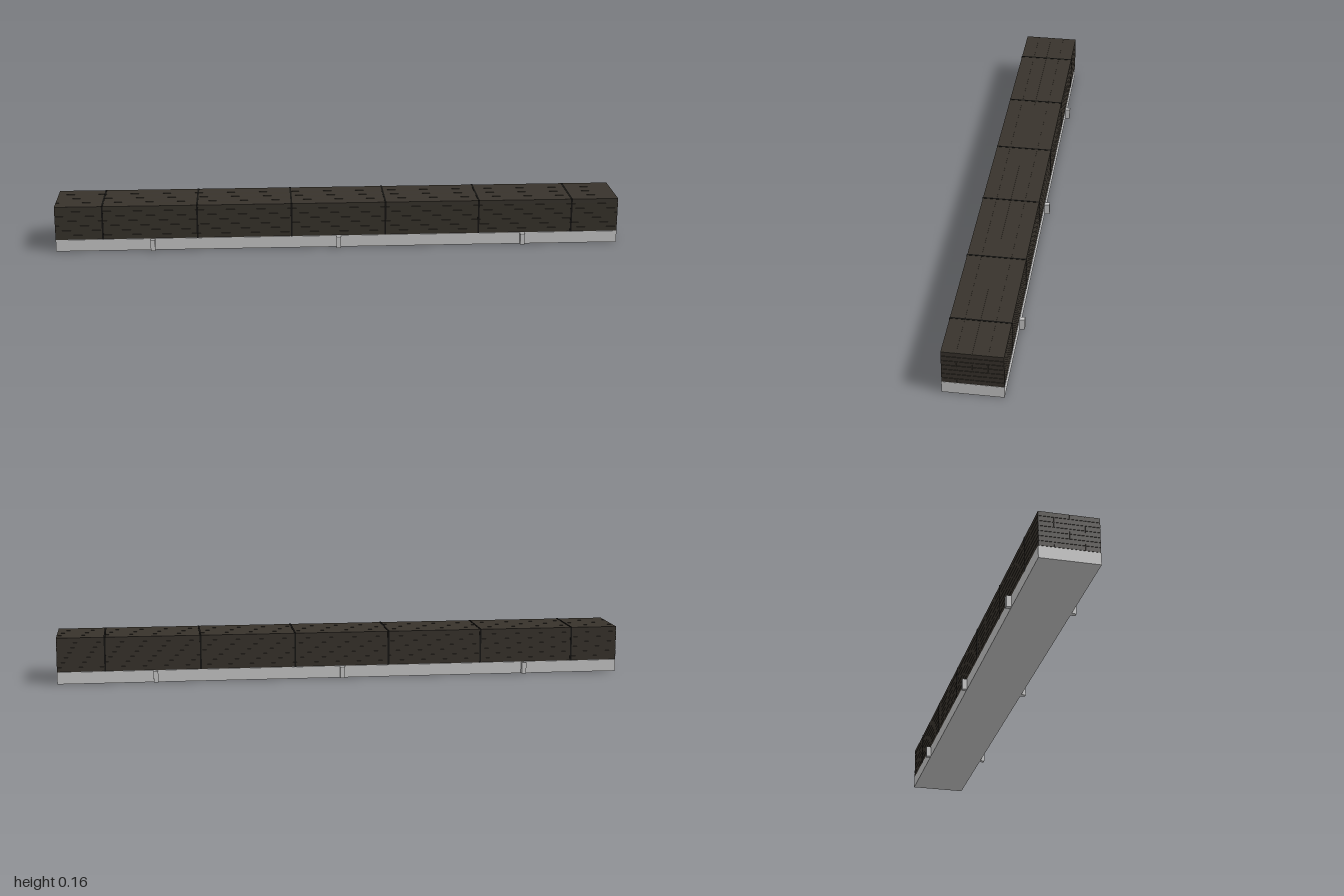
import * as THREE from 'three';

const grey = new THREE.MeshStandardMaterial({ color: 0xcccccc });
const wood = new THREE.MeshStandardMaterial({ color: 0x38332c });
const black = new THREE.MeshStandardMaterial({ color: 0x151412 });

function box(parent, name, material, size, position) {
  const mesh = new THREE.Mesh(new THREE.BoxGeometry(...size), material);
  mesh.name = name;
  mesh.position.set(...position);
  parent.add(mesh);
  return mesh;
}

export function createModel() {
  const model = new THREE.Group();
  model.name = 'timberLoad';

  const baseHeight = 0.042, top = 0.164, width = 0.2;
  const loadHeight = top - baseHeight;
  const middle = baseHeight + loadHeight / 2;

  // Flat bed
  box(model, 'bed', grey, [2, baseHeight, width], [0, baseHeight / 2, 0]);

  // Stake pockets along both sides of the bed
  for (const x of [-0.658, 0, 0.658]) {
    for (const side of [-1, 1]) {
      box(model, 'stakePocket', grey, [0.016, 0.04, 0.017], [x, 0.021, side * 0.1085]);
    }
  }

  // Long boards stacked in rows and columns, with narrow seams
  const stack = new THREE.Group();
  stack.name = 'boardStack';
  model.add(stack);
  const rows = 7, columns = 4, gap = 0.0016;
  const rowHeight = loadHeight / rows, columnWidth = width / columns;
  for (let r = 0; r < rows; r++) {
    for (let c = 0; c < columns; c++) {
      box(stack, 'board', wood, [2, rowHeight - gap, columnWidth - gap],
        [0, baseHeight + (r + 0.5) * rowHeight, (c + 0.5) * columnWidth - width / 2]);
    }
  }
  // Filling just behind the seams
  box(stack, 'stackCore', wood, [1.996, loadHeight - 0.004, width - 0.005], [0, middle, 0]);

  // Straps over the top and down both sides
  for (let i = 0; i < 6; i++) {
    const x = (i - 2.5) / 3;
    const strap = new THREE.Group();
    strap.name = 'strap';
    model.add(strap);
    box(strap, 'strapTop', black, [0.006, 0.001, width + 0.001], [x, top, 0]);
    for (const side of [-1, 1]) {
      box(strap, 'strapSide', black, [0.006, loadHeight, 0.001], [x, middle, side * width / 2]);
    }
  }
  return model;
}
